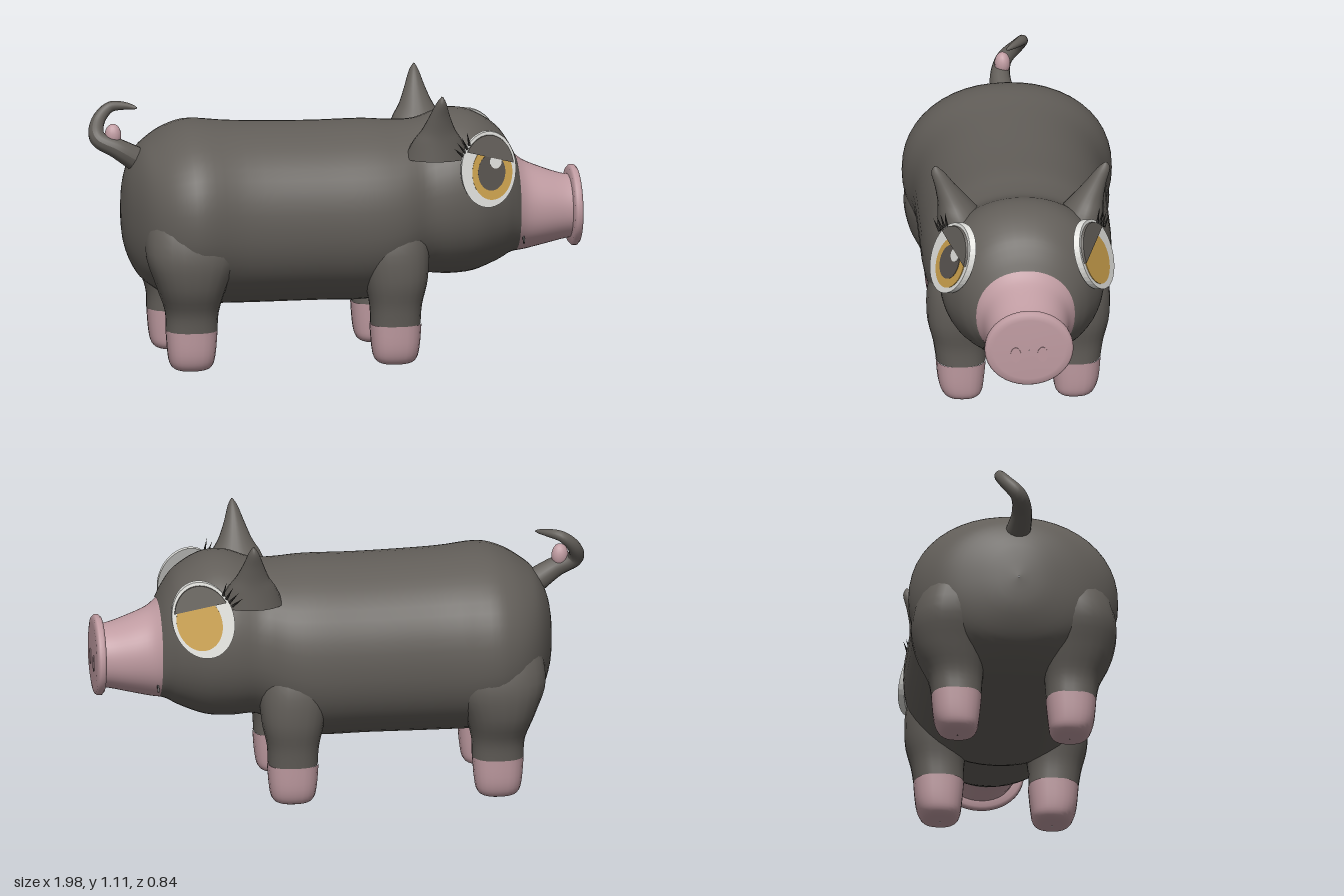
import * as THREE from 'three';

const mat = (name, color) => Object.assign(new THREE.MeshStandardMaterial({ color }), { name });

// Catmull-Rom refinement of cross-section rows
function refine(rows, steps) {
  const out = [];
  for (let i = 0; i < rows.length - 1; i++) {
    const a = rows[Math.max(i - 1, 0)], b = rows[i], c = rows[i + 1], d = rows[Math.min(i + 2, rows.length - 1)];
    for (let k = 0; k < steps; k++) {
      const t = k / steps;
      out.push(b.map((_, n) => b[n] + 0.5 * t * (c[n] - a[n] +
        t * (2 * a[n] - 5 * b[n] + 4 * c[n] - d[n] + t * (3 * (b[n] - c[n]) + d[n] - a[n])))));
    }
  }
  out.push(rows[rows.length - 1]);
  return out;
}

// Skin over elliptical sections. Axis 'x': [x, cy, cz, ry, rz]; axis 'y': [y, cx, cz, rx, rz]
function loft(axis, rows, { steps = 4, sides = 32, power = 2 } = {}) {
  const all = refine(rows, steps), pos = [], idx = [];
  const bend = v => Math.sign(v) * Math.abs(v) ** (2 / power);
  all.forEach(([t, c1, c2, r1, r2], i) => {
    for (let j = 0; j < sides; j++) {
      const a = (j / sides) * Math.PI * 2, s = bend(Math.sin(a)), c = bend(Math.cos(a));
      if (axis === 'x') pos.push(t, c1 + Math.max(r1, 0.001) * s, c2 + Math.max(r2, 0.001) * c);
      else pos.push(c1 + Math.max(r1, 0.001) * c, t, c2 + Math.max(r2, 0.001) * s);
      if (i < all.length - 1) {
        const p = i * sides + j, q = i * sides + (j + 1) % sides;
        idx.push(p, p + sides, q + sides, p, q + sides, q);
      }
    }
  });
  const g = new THREE.BufferGeometry();
  g.setAttribute('position', new THREE.Float32BufferAttribute(pos, 3));
  g.setIndex(idx);
  g.computeVertexNormals();
  return g;
}

// Slice of an ellipse in the side plane
function ellipse(cx, cy, rx, ry, a0 = 0, a1 = Math.PI * 2, n = 40) {
  const pts = [];
  for (let i = 0; i <= n; i++) {
    const a = a0 + (a1 - a0) * i / n;
    pts.push(new THREE.Vector2(cx + rx * Math.cos(a), cy + ry * Math.sin(a)));
  }
  if (a1 - a0 > 6.2) pts.pop();
  return new THREE.Shape(pts);
}

export function createModel() {
  const model = new THREE.Group();
  model.name = 'pig';
  const hide = mat('charcoal hide', 0x625e59), pink = mat('dusty pink', 0xc09ca2);
  const white = mat('eye white', 0xdcdcd8), gold = mat('iris gold', 0xc99f4c);
  const dark = mat('pupil grey', 0x57524e), black = mat('lash black', 0x2a2826);
  const add = (name, geo, material, parent = model) => {
    const m = new THREE.Mesh(geo, material);
    m.name = name;
    parent.add(m);
    return m;
  };

  // Body and head in one skin
  add('bodyAndHead', loft('x', [
    [-0.86, 0.60, 0, 0.002, 0.002], [-0.845, 0.61, 0, 0.14, 0.12], [-0.80, 0.61, 0, 0.245, 0.26],
    [-0.74, 0.61, 0, 0.30, 0.35], [-0.66, 0.61, 0, 0.345, 0.405], [-0.57, 0.61, 0, 0.365, 0.42],
    [-0.40, 0.60, 0, 0.362, 0.387], [-0.10, 0.595, 0, 0.357, 0.382], [0.12, 0.595, 0, 0.358, 0.38],
    [0.24, 0.61, 0, 0.335, 0.362], [0.34, 0.64, 0, 0.31, 0.325], [0.45, 0.657, 0, 0.33, 0.332],
    [0.55, 0.658, 0, 0.322, 0.32], [0.65, 0.648, 0, 0.275, 0.268], [0.70, 0.63, 0, 0.23, 0.228],
    [0.73, 0.605, 0, 0.197, 0.198],
  ], { sides: 48, power: 2.15 }), hide);

  // Snout, flat nose disc and nostrils
  add('snout', loft('x', [
    [0.725, 0.605, 0, 0.199, 0.20], [0.77, 0.59, 0, 0.178, 0.175], [0.85, 0.582, 0, 0.152, 0.158],
    [0.92, 0.578, 0, 0.132, 0.142], [0.965, 0.578, 0, 0.125, 0.135],
  ], { sides: 48, power: 2.1 }), pink);
  add('noseDisc', loft('x', [
    [0.95, 0.58, 0, 0.12, 0.13], [0.953, 0.58, 0, 0.152, 0.168], [0.962, 0.58, 0, 0.161, 0.178],
    [0.978, 0.58, 0, 0.161, 0.178], [0.986, 0.58, 0, 0.153, 0.17], [0.99, 0.58, 0, 0.13, 0.145],
    [0.991, 0.58, 0, 0.001, 0.001],
  ], { steps: 1, sides: 48 }), pink);

  // Tail: a tapering curl with a pink patch
  const curl = new THREE.CatmullRomCurve3([
    [-0.79, 0.82, 0], [-0.88, 0.875, 0.01], [-0.955, 0.915, -0.01], [-0.945, 0.975, -0.06],
    [-0.895, 1.025, -0.08], [-0.84, 1.035, -0.05], [-0.795, 1.032, -0.01]].map(p => new THREE.Vector3(...p)));
  const tail = new THREE.TubeGeometry(curl, 40, 1, 14);
  const tp = tail.attributes.position, v = new THREE.Vector3();
  for (let i = 0; i < tp.count; i++) {
    const u = Math.floor(i / 15) / 40, c = curl.getPointAt(u);
    v.fromBufferAttribute(tp, i).sub(c).multiplyScalar(0.002 + 0.05 * (1 - u) ** 0.6 * (1 - 0.15 * Math.sin(u * Math.PI)));
    tp.setXYZ(i, c.x + v.x, c.y + v.y, c.z + v.z);
  }
  tail.computeVertexNormals();
  add('tail', tail, hide);
  const patch = add('tailPatch', new THREE.SphereGeometry(0.04, 16, 12), pink);
  patch.position.set(-0.895, 0.925, 0.0);
  patch.scale.set(0.85, 1.2, 0.8);

  for (const s of [1, -1]) {
    const side = s > 0 ? 'right' : 'left';

    // Legs and hooves
    const legs = {
      Rear: [-0.615, [[0.17, 0, 0.23, 0.104, 0.1], [0.25, 0, 0.235, 0.108, 0.11], [0.36, -0.005, 0.253, 0.143, 0.142],
        [0.5, 0, 0.255, 0.19, 0.155], [0.65, 0, 0.22, 0.15, 0.13], [0.72, 0, 0.2, 0.002, 0.002]]],
      Front: [0.212, [[0.17, 0, 0.23, 0.1, 0.1], [0.25, 0, 0.235, 0.105, 0.107], [0.36, 0, 0.238, 0.128, 0.128],
        [0.5, -0.01, 0.22, 0.14, 0.14], [0.62, -0.01, 0.2, 0.1, 0.1], [0.68, 0, 0.2, 0.002, 0.002]]],
    };
    for (const [end, [x, rows]] of Object.entries(legs)) {
      const place = list => list.map(([y, cx, cz, rx, rz]) => [y, x + cx, s * cz, rx, rz]);
      add(side + end + 'Leg', loft('y', place(rows), { sides: 24, power: 2.3 }), hide);
      add(side + end + 'Hoof', loft('y', place([[0.004, 0, 0.225, 0.002, 0.002], [0.008, 0, 0.225, 0.055, 0.05],
        [0.028, 0, 0.226, 0.084, 0.078], [0.08, 0, 0.23, 0.096, 0.092], [0.172, 0, 0.23, 0.103, 0.101]]),
      { sides: 24, power: 2.5 }), pink);
    }

    // Ear
    add(side + 'Ear', loft('y', [[0.84, 0.38, s * 0.225, 0.13, 0.11], [0.91, 0.38, s * 0.25, 0.1, 0.082],
      [0.96, 0.38, s * 0.272, 0.068, 0.062], [1.02, 0.38, s * 0.302, 0.042, 0.042],
      [1.08, 0.382, s * 0.332, 0.02, 0.026], [1.11, 0.384, s * 0.342, 0.002, 0.004]], { sides: 20 }), hide);

    // Eye: tilted stack of thin elliptical plates
    const eye = new THREE.Group();
    eye.name = side + 'Eye';
    model.add(eye);
    const plane = (x, y) => 0.295 - 0.48 * (x - 0.58) - 0.33 * (y - 0.795);
    const plate = (name, shape, from, to, material) => {
      const g = new THREE.ExtrudeGeometry(shape, { depth: to - from, bevelEnabled: false });
      const lift = plane(0, 0) * s + (s > 0 ? from : -to);
      g.applyMatrix4(new THREE.Matrix4().set(1, 0, 0, 0, 0, 1, 0, 0, -0.48 * s, -0.33 * s, 1, lift, 0, 0, 0, 1));
      add(name, g, material, eye);
    };
    plate('eyeWhite', ellipse(0.58, 0.796, 0.12, 0.145), -0.025, 0, white);
    plate('iris', ellipse(0.595, 0.783, 0.088, 0.104), 0, 0.003, gold);
    if (s > 0) {
      plate('pupil', ellipse(0.592, 0.785, 0.06, 0.07), 0.003, 0.005, dark);
      plate('glint', ellipse(0.612, 0.825, 0.026, 0.028), 0.005, 0.007, white);
    }
    plate('eyelid', ellipse(0.58, 0.798, 0.11, 0.13, 0.1, Math.PI - 0.62), 0, 0.0095, hide);

    // Eyelashes at the rear corner of the lid
    for (let i = 0; i < 4; i++) {
      const x = 0.468 + i * 0.011, y = 0.862 + i * 0.012;
      const lash = add('eyelash', new THREE.ConeGeometry(0.006, 0.06, 6).translate(0, 0.03, 0), black, eye);
      lash.position.set(x, y, s * (plane(x, y) + 0.003));
      lash.quaternion.setFromUnitVectors(new THREE.Vector3(0, 1, 0),
        new THREE.Vector3(-0.75 + i * 0.2, 0.7, s * (0.45 - i * 0.12)).normalize());
    }

    // Nostril and mouth corner
    const nostril = add(side + 'Nostril', new THREE.CylinderGeometry(1, 1, 0.006, 24).rotateZ(Math.PI / 2), pink);
    nostril.scale.set(1, 0.032, 0.021);
    nostril.position.set(0.991, 0.56, s * 0.054);
    const mouth = add(side + 'MouthCorner', new THREE.BoxGeometry(0.007, 0.06, 0.009), black);
    mouth.position.set(0.745, 0.49, s * 0.152);
    mouth.rotation.x = -s * 0.6;
  }
  return model;
}
